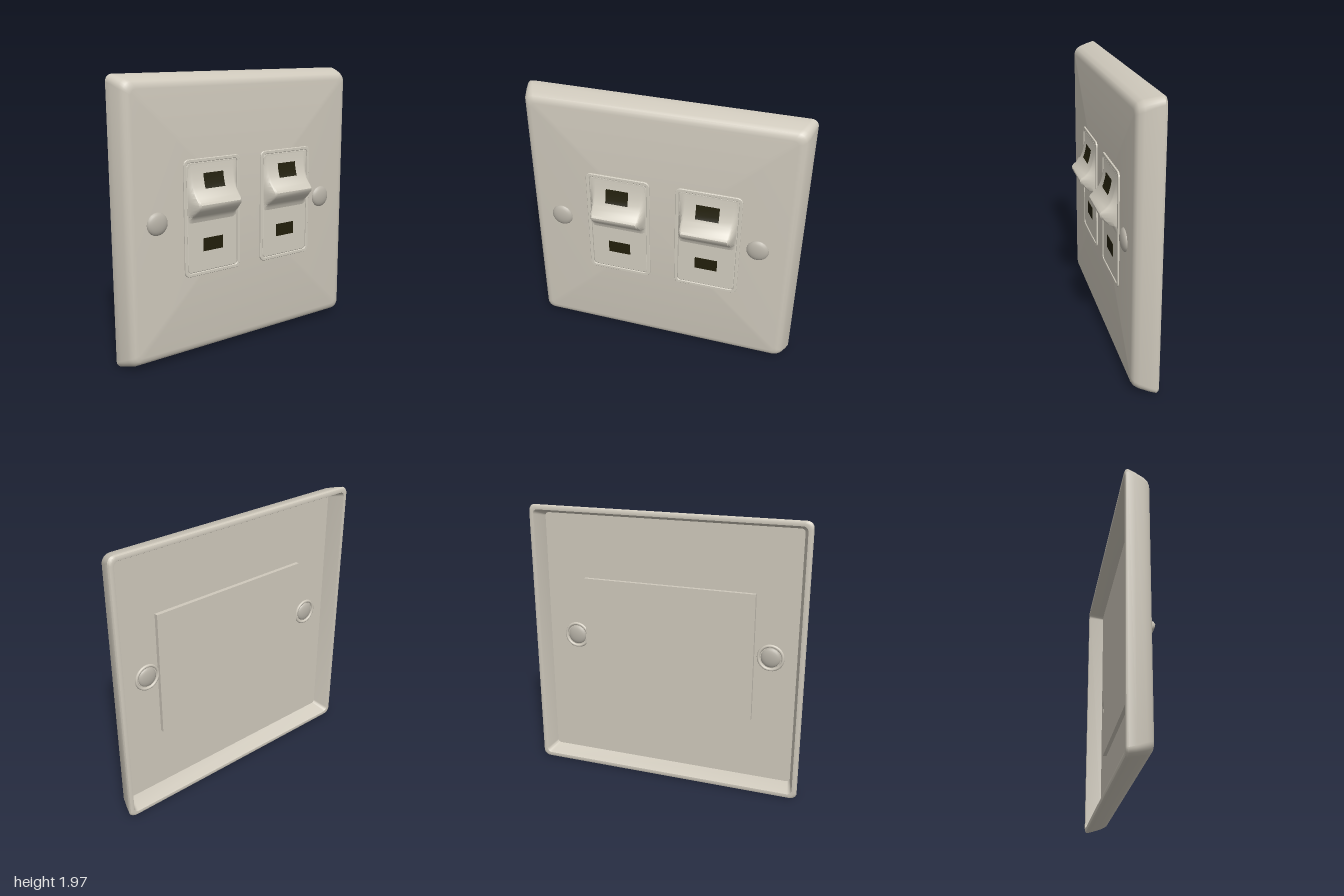
import * as THREE from 'three';
import { toCreasedNormals } from 'three/addons/utils/BufferGeometryUtils.js';

const mat = (name, color) => new THREE.MeshStandardMaterial({ name, color });

// Surface through rows of points; faces front when rows run outward or downward
function grid(rows, closed, crease) {
  const n = rows[0].length, index = [];
  for (let i = 0; i < rows.length - 1; i++) {
    for (let j = 0; j < (closed ? n : n - 1); j++) {
      const a = i * n + j, b = i * n + (j + 1) % n;
      index.push(a, a + n, b, b, a + n, b + n);
    }
  }
  const geo = new THREE.BufferGeometry();
  geo.setAttribute('position', new THREE.Float32BufferAttribute(rows.flat(2), 3));
  geo.setIndex(index);
  return toCreasedNormals(geo, crease);
}

// Counter-clockwise rounded rectangle centred on the origin
function roundedLoop(hx, hy, r, z, steps = 6) {
  const pts = [];
  for (let q = 0; q < 4; q++) {
    const sx = q === 0 || q === 3 ? 1 : -1, sy = q < 2 ? 1 : -1;
    for (let k = 0; k <= steps; k++) {
      const t = (q + k / steps) * Math.PI / 2;
      pts.push([sx * (hx - r) + r * Math.cos(t), sy * (hy - r) + r * Math.sin(t), z]);
    }
  }
  return pts;
}
const outline = (hx, hy, r) => roundedLoop(hx, hy, r, 0).map(p => new THREE.Vector2(p[0], p[1]));

// Lever profile: [y, height above the rocker pane]
const LEVER = [[1.385, 0], [1.33, 0.004], [1.27, 0.013], [1.22, 0.026], [1.18, 0.045], [1.15, 0.072],
  [1.125, 0.1], [1.11, 0.11], [1.09, 0.107], [1.06, 0.082], [1.03, 0.05], [1.015, 0.022], [0.99, 0.007], [0.96, -0.002]];
// Fraction of the full height across the lever's width
const TAPER = [[-0.207, -0.05], [-0.197, 0.35], [-0.178, 0.88], [-0.165, 1], [0.165, 1], [0.178, 0.88], [0.197, 0.35], [0.207, -0.05]];

function leverHeight(y) {
  const i = LEVER.findIndex((p, k) => k > 0 && p[0] <= y);
  const [y0, h0] = LEVER[i - 1], [y1, h1] = LEVER[i];
  return h0 + (h1 - h0) * (y - y0) / (y1 - y0);
}

export function createModel() {
  const plateMat = mat('warm ivory plate', 0xcfc9bc);
  const rockerMat = mat('pale ivory rocker', 0xd2cdc0);
  const screwMat = mat('grey ivory screw', 0xb8b3a8);
  const darkMat = mat('dark olive window', 0x221f0b);

  const root = new THREE.Group();
  root.name = 'wallSwitch';
  const add = (parent, name, geo, material, x = 0, y = 0, z = 0) => {
    const mesh = new THREE.Mesh(geo, material);
    mesh.name = name;
    mesh.position.set(x, y, z);
    parent.add(mesh);
    return mesh;
  };

  // Hollow plate: front face, rounded edge, rim, inner wall, floor as [inset, z, corner radius]
  const section = [[0.09, 0.032, 0.035], [0.065, 0.028, 0.045], [0.045, 0.015, 0.055], [0.028, -0.015, 0.06],
    [0.01, -0.08, 0.05], [0, -0.125, 0.045], [0.006, -0.138, 0.045], [0.018, -0.143, 0.04],
    [0.034, -0.141, 0.035], [0.04, -0.13, 0.03], [0.07, -0.025, 0.025]];
  const rings = section.map(([i, z, r]) => roundedLoop(0.998 - i, 0.985 - i, r, z));
  add(root, 'plate', grid([roundedLoop(0, 0, 0, 0.032), ...rings, roundedLoop(0, 0, 0, -0.025)], true, 0.7),
    plateMat, 0, 0.99, 0);

  // Raised block on the back
  add(root, 'backBlock', new THREE.BoxGeometry(1.26, 0.92, 0.03), plateMat, 0, 0.99, -0.038);

  // Fixing screws: domed heads in front, ringed ends behind
  const dome = (r, h) => new THREE.SphereGeometry(r, 20, 6, 0, Math.PI * 2, 0, Math.PI / 2)
    .rotateX(Math.PI / 2).scale(1, 1, h / r);
  for (const x of [-0.745, 0.715]) {
    add(root, 'screwHead', dome(0.08, 0.03), screwMat, x, 1.005, 0.03);
    add(root, 'screwEnd', dome(0.07, 0.022), screwMat, x, 1.005, -0.024).rotation.y = Math.PI;
    add(root, 'screwRing', new THREE.TorusGeometry(0.086, 0.011, 8, 28), plateMat, x, 1.005, -0.026);
  }

  // Two rockers, each with a lip, a pane, a lever and two windows
  const lip = new THREE.Shape(outline(0.232, 0.405, 0.035));
  lip.holes.push(new THREE.Path(outline(0.214, 0.387, 0.025).reverse()));
  const lipGeo = new THREE.ExtrudeGeometry(lip, {
    depth: 0.012, bevelThickness: 0.003, bevelSize: 0.003, bevelSegments: 1 });
  const paneGeo = new THREE.ExtrudeGeometry(new THREE.Shape(outline(0.206, 0.379, 0.025)), {
    depth: 0.012, bevelThickness: 0.003, bevelSize: 0.004, bevelSegments: 1 });
  const leverGeo = grid(LEVER.map(([y, h]) => TAPER.map(([x, f]) => [x, y, h > 0 ? h * f : h])), false, 0.6);
  const windowYs = [1.308, 1.27, 1.24, 1.22, 1.205];
  const windowGeo = grid(windowYs.map(y => [-0.083, 0.083].map(x => [x, y, leverHeight(y) + 0.004])), false, 0.6);

  for (const x of [-0.302, 0.355]) {
    const rocker = new THREE.Group();
    rocker.name = 'rocker';
    rocker.position.x = x;
    root.add(rocker);
    add(rocker, 'lip', lipGeo, rockerMat, 0, 1, 0.028);
    add(rocker, 'pane', paneGeo, rockerMat, 0, 1, 0.024);
    add(rocker, 'lever', leverGeo, rockerMat, 0, 0, 0.038);
    add(rocker, 'upperWindow', windowGeo, darkMat, 0, 0, 0.038);
    add(rocker, 'lowerWindow', new THREE.BoxGeometry(0.164, 0.092, 0.008), darkMat, 0, 0.805, 0.038);
  }

  // The plate sits very slightly turned
  root.rotation.y = 0.009;
  return root;
}
